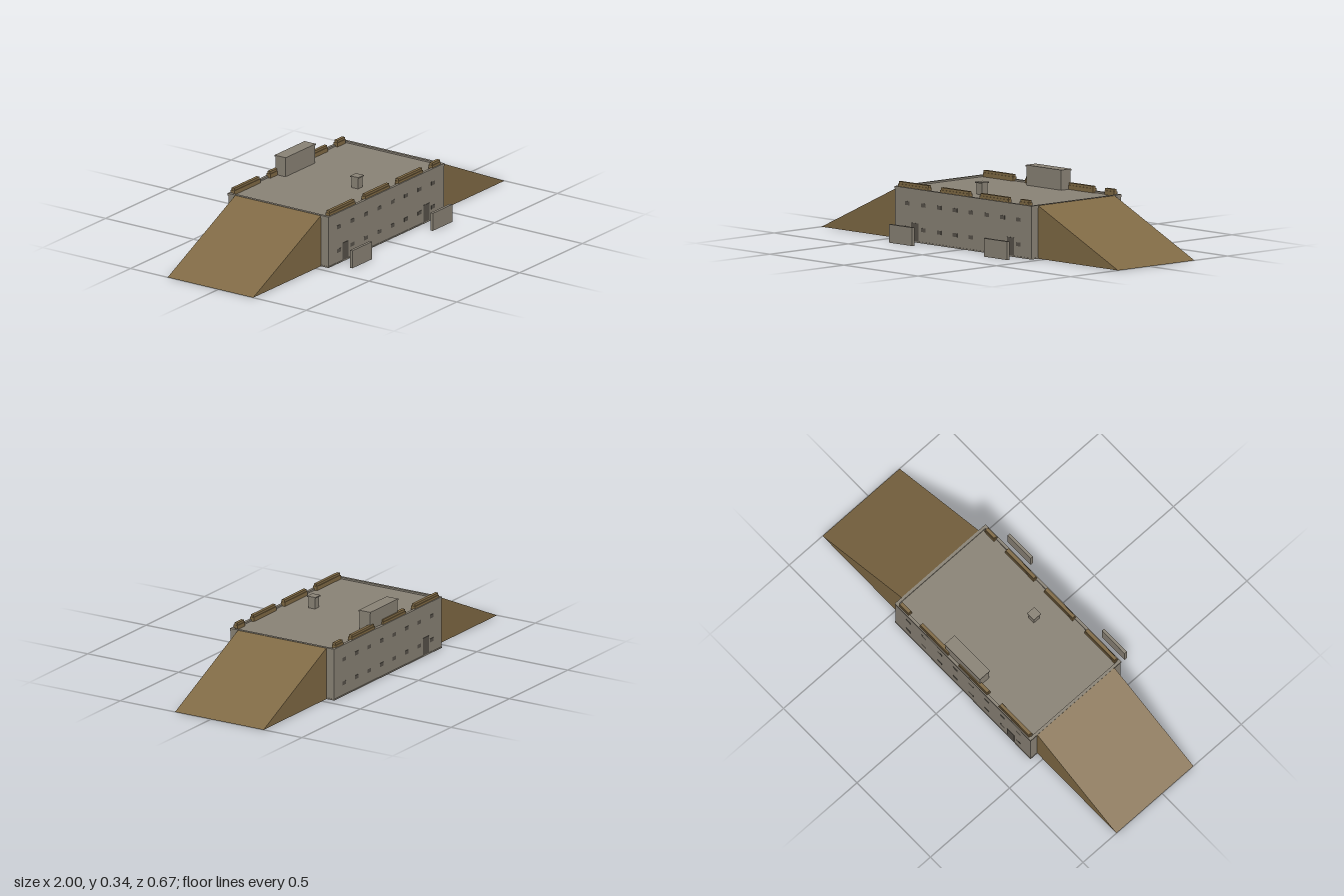
import * as THREE from 'three';

const mat = (name, color, side = THREE.FrontSide) => {
  const m = new THREE.MeshStandardMaterial({ color, side });
  m.name = name;
  return m;
};

export function createModel() {
  const model = new THREE.Group();
  model.name = 'bunker';
  const concrete = mat('concrete', 0x8a8376);
  const earth = mat('earth', 0x806a45, THREE.DoubleSide);
  const dark = mat('darkOpening', 0x57524a);

  // Box given by its lower and upper limits on each axis
  const box = (name, material, x0, x1, y0, y1, z0, z1, parent = model) => {
    const mesh = new THREE.Mesh(new THREE.BoxGeometry(x1 - x0, y1 - y0, z1 - z0), material);
    mesh.position.set((x0 + x1) / 2, (y0 + y1) / 2, (z0 + z1) / 2);
    mesh.name = name;
    parent.add(mesh);
    return mesh;
  };

  // Main block with a plinth and a low rim around the roof
  const X = 0.46, ZF = 0.24, ZB = -0.33, H = 0.25, rim = 0.012;
  box('mainBlock', concrete, -X, X, 0, H - 0.008, ZB, ZF);
  box('plinth', concrete, -X - 0.002, X + 0.002, 0, 0.006, ZB - 0.002, ZF + 0.002);
  const outline = new THREE.Shape();
  outline.moveTo(-X - 0.002, -ZF - 0.002).lineTo(X + 0.002, -ZF - 0.002)
    .lineTo(X + 0.002, -ZB + 0.002).lineTo(-X - 0.002, -ZB + 0.002).closePath();
  const hole = new THREE.Path();
  hole.moveTo(-X + rim, -ZF + rim).lineTo(-X + rim, -ZB - rim)
    .lineTo(X - rim, -ZB - rim).lineTo(X - rim, -ZF + rim).closePath();
  outline.holes.push(hole);
  const rimGeo = new THREE.ExtrudeGeometry(outline, { depth: 0.012, bevelEnabled: false });
  rimGeo.rotateX(-Math.PI / 2);
  const roofRim = new THREE.Mesh(rimGeo, concrete);
  roofRim.position.y = H - 0.012;
  roofRim.name = 'roofRim';
  model.add(roofRim);

  // Earth banks at both ends: a slope and two side walls, open underneath
  const bank = (s) => {
    const a = [s * 1, 0, 0.198], b = [s * 1, 0, -0.289];
    const c = [s * X, H - 0.001, 0.198], d = [s * X, H - 0.001, -0.289];
    const e = [s * X, 0, 0.198], f = [s * X, 0, -0.289];
    const tris = [[a, b, d], [a, d, c], [e, a, c], [b, f, d]];
    const points = tris.flatMap((t) => (s > 0 ? t : [t[0], t[2], t[1]])).flat();
    const g = new THREE.BufferGeometry();
    g.setAttribute('position', new THREE.Float32BufferAttribute(points, 3));
    g.computeVertexNormals();
    const mesh = new THREE.Mesh(g, earth);
    mesh.name = s > 0 ? 'leftEarthBank' : 'rightEarthBank';
    model.add(mesh);
  };
  bank(1);
  bank(-1);

  // Stepped earth parapets along front and back
  const spans = [[-0.445, -0.24], [-0.16, 0.035], [0.105, 0.30], [0.375, 0.44]];
  for (const [row, zc] of [['front', 0.225], ['back', -0.316]]) {
    for (const [x0, x1] of spans) {
      const parapet = new THREE.Group();
      parapet.name = row + 'Parapet';
      box('parapetBase', earth, x0, x1, H - 0.008, 0.262, zc - 0.011, zc + 0.011, parapet);
      box('parapetTop', earth, x0 + 0.003, x1 - 0.003, 0.262, 0.273, zc - 0.008, zc + 0.008, parapet);
      model.add(parapet);
    }
  }

  // Rooftop house and vent with caps
  box('roofHouse', concrete, -0.102, 0.132, H - 0.008, 0.33, -0.318, -0.26);
  box('roofHouseCap', concrete, -0.105, 0.135, 0.33, 0.337, -0.321, -0.257);
  box('vent', concrete, -0.045, -0.009, H - 0.008, 0.295, 0.076, 0.112);
  box('ventCap', concrete, -0.05, -0.004, 0.295, 0.3, 0.071, 0.117);

  // Windows in two rows on front and back
  for (const [row, z] of [['front', ZF], ['back', ZB]]) {
    for (let i = 0; i < 8; i++) {
      const x = -0.376 + i * 0.107;
      for (const y of [0.178, 0.062]) {
        box(row + 'Window', dark, x - 0.015, x + 0.015, y - 0.009, y + 0.009, z - 0.001, z + 0.001);
      }
    }
  }

  // Doors
  for (const x of [-0.325, 0.32]) box('frontDoor', dark, x - 0.024, x + 0.024, 0.006, 0.09, ZF - 0.002, ZF + 0.002);
  box('backDoor', dark, -0.349, -0.301, 0.006, 0.09, ZB - 0.002, ZB + 0.002);

  // Free-standing blast walls in front of the doors
  box('rightBlastWall', concrete, -0.4, -0.245, 0, 0.086, 0.32, 0.334);
  box('leftBlastWall', concrete, 0.24, 0.396, 0, 0.086, 0.32, 0.334);

  return model;
}
